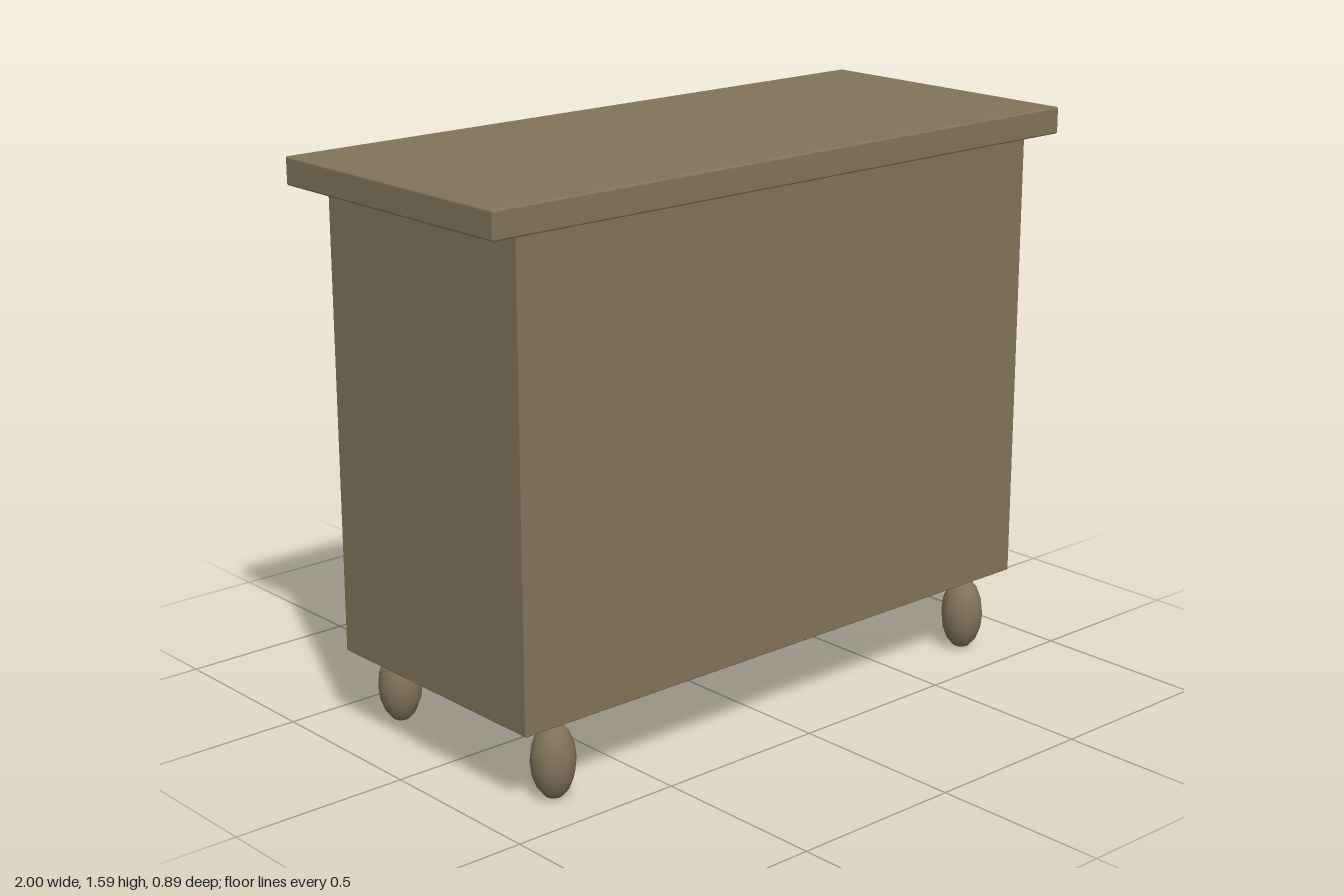
import * as THREE from 'three';
import { RoundedBoxGeometry } from 'three/addons/geometries/RoundedBoxGeometry.js';

export function createModel() {
  const model = new THREE.Group();
  model.name = 'chestOfDrawers';
  const wood = new THREE.MeshStandardMaterial({ color: 0x82745b });
  wood.name = 'brown wood';

  const add = (parent, name, geometry, x, y, z) => {
    const mesh = new THREE.Mesh(geometry, wood);
    mesh.name = name;
    mesh.position.set(x, y, z);
    parent.add(mesh);
    return mesh;
  };
  // Softly rounded box given by its limits, centred on x = 0
  const slab = (parent, name, halfWidth, y0, y1, z0, z1, radius) =>
    add(parent, name, new RoundedBoxGeometry(halfWidth * 2, y1 - y0, z1 - z0, 2, radius),
      0, (y0 + y1) / 2, (z0 + z1) / 2);

  // Carcass and overhanging top
  slab(model, 'body', 0.902, 0.224, 1.513, -0.37, 0.408, 0.004);
  slab(model, 'top', 1, 1.512, 1.588, -0.411, 0.445, 0.006);

  // Egg-shaped feet
  const footShape = new THREE.SphereGeometry(1, 12, 8).scale(0.061, 0.108, 0.061);
  for (const x of [-0.77, 0.77]) {
    for (const z of [-0.312, 0.35]) add(model, 'foot', footShape, x, 0.108, z);
  }

  // Four drawers with raised panels and bar handles
  const handleShape = new THREE.CylinderGeometry(0.011, 0.011, 0.14, 12).rotateZ(Math.PI / 2);
  for (let i = 0; i < 4; i++) {
    const y = 0.455 + i * 0.301;
    const drawer = new THREE.Group();
    drawer.name = 'drawer';
    slab(drawer, 'drawerFront', 0.828, y - 0.132, y + 0.132, -0.409, -0.355, 0.01);
    slab(drawer, 'drawerPanel', 0.768, y - 0.108, y + 0.108, -0.42, -0.395, 0.004);
    for (const x of [-0.46, 0.46]) add(drawer, 'handle', handleShape, x, y, -0.434);
    model.add(drawer);
  }
  return model;
}
